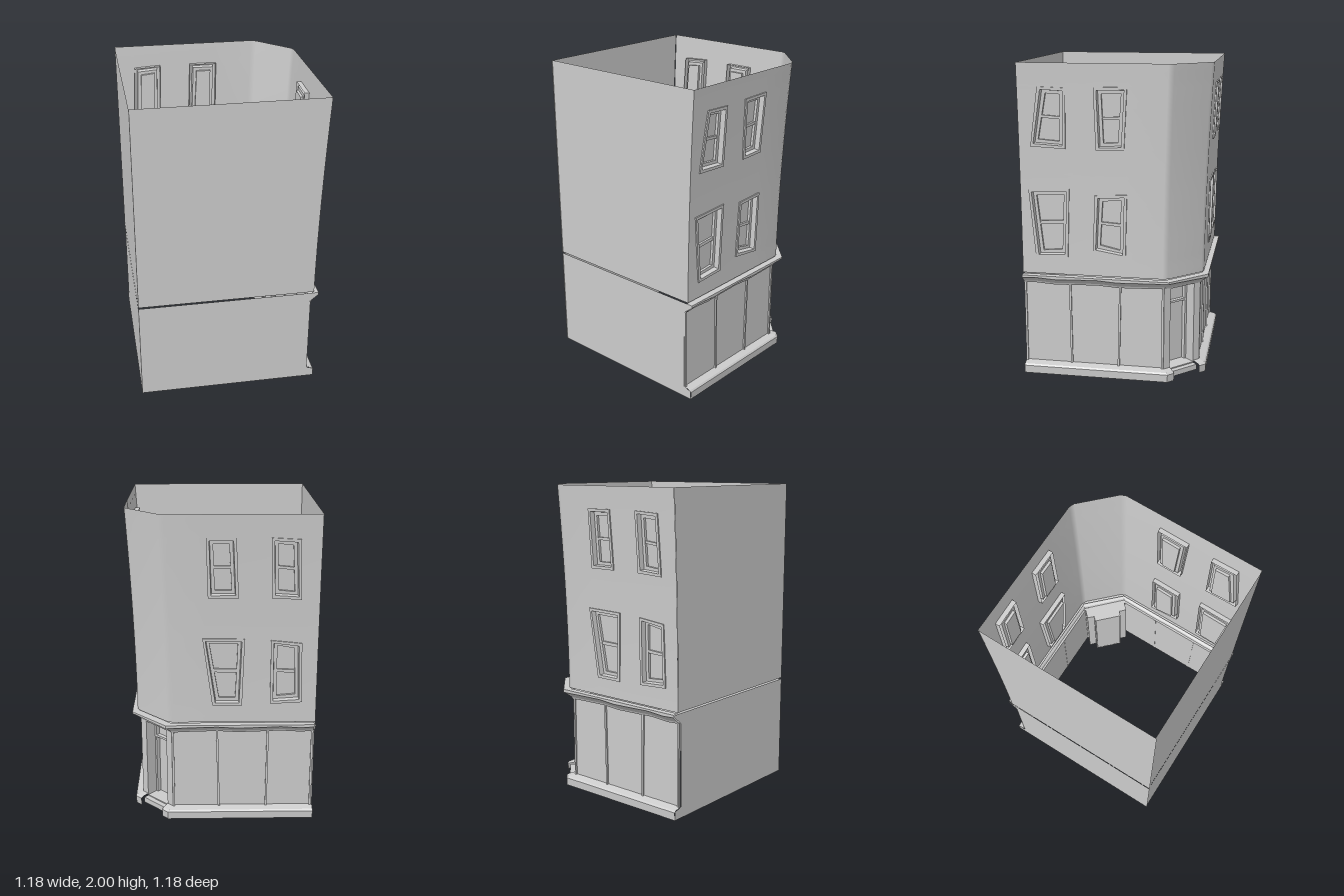
import * as THREE from 'three';

const mat = new THREE.MeshStandardMaterial({ color: 0xcccccc, side: THREE.DoubleSide });
const FRONT = 0.583, LEFT = -0.59, UPPER = 0.675, TOP = 2, GLASS = 0.516, SHOP = 0.526;

// Footprint: each function turns an outward distance d into an [x, z] point
const cut = d => 0.315 + (d - 0.52) * 0.7;
const right = u => d => [d, u];
const back = u => d => [u, -d - 0.003];
const chamfer = t => d => [
  THREE.MathUtils.lerp(d, cut(d), t),
  THREE.MathUtils.lerp(-cut(d), -d - 0.003, t)];
const rightEnd = d => [d, -cut(d) + 0.02];
const backEnd = d => [cut(d) - 0.02, -d - 0.003];
// Upper walls flare outward towards the top
const lean = y => 0.546 + 0.042 * Math.pow(Math.max(0, (y - UPPER) / (TOP - UPPER)), 1.8);
const place = (f, d, y) => { const [x, z] = f(d); return [x, y, z]; };

// Surface through columns of points, with optional omitted cells
function grid(cols, flat, skip = () => false) {
  const n = cols[0].length, index = [];
  for (let i = 0; i < cols.length - 1; i++)
    for (let j = 0; j < n - 1; j++) {
      if (skip(i, j)) continue;
      const a = i * n + j, b = a + n;
      index.push(a, b, b + 1, a, b + 1, a + 1);
    }
  let g = new THREE.BufferGeometry();
  g.setAttribute('position', new THREE.Float32BufferAttribute(cols.flat(2), 3));
  g.setIndex(index);
  if (flat) g = g.toNonIndexed();
  g.computeVertexNormals();
  return g;
}

function add(parent, name, geometry) {
  const m = new THREE.Mesh(geometry, mat);
  m.name = name;
  parent.add(m);
  return m;
}

function box(parent, name, w, h, d, x, y, z) {
  const m = add(parent, name, new THREE.BoxGeometry(w, h, d));
  m.position.set(x, y, z);
  return m;
}

// Profile of [d, y] points swept along the footprint
const sweep = (path, profile, wobble = () => 0) => grid(
  path.map((f, i) => profile.map(([d, y], k) => place(f, d, y + wobble(i, k)))), true);

// Window corners as [u, y]: bottom left, bottom right, top right, top left
const sides = [
  { face: right, upper: [
    [[0.508, 1.49], [0.29, 1.48], [0.28, 1.851], [0.455, 1.857]],
    [[0.10, 1.475], [-0.074, 1.48], [-0.095, 1.862], [0.11, 1.857]]],
  lower: [
    [[0.492, 0.78], [0.286, 0.79], [0.27, 1.23], [0.53, 1.22]],
    [[0.127, 0.828], [-0.08, 0.80], [-0.09, 1.204], [0.11, 1.194]]] },
  { face: back, upper: [
    [[0.085, 1.49], [-0.10, 1.49], [-0.085, 1.86], [0.095, 1.86]],
    [[-0.30, 1.49], [-0.48, 1.48], [-0.465, 1.85], [-0.29, 1.86]]],
  lower: [
    [[0.06, 0.79], [-0.125, 0.79], [-0.14, 1.23], [0.12, 1.235]],
    [[-0.30, 0.80], [-0.50, 0.81], [-0.49, 1.20], [-0.30, 1.22]]] }];

// Trim, reveal, sash frame and panes of one crooked window
function addWindow(parent, face, c) {
  const g = new THREE.Group();
  g.name = 'window';
  parent.add(g);
  const at = (i, inset, out) => {
    const u = c[i][0] + (i === 0 || i === 3 ? -inset : inset);
    const y = c[i][1] + (i < 2 ? inset : -inset);
    return place(face(u), lean(y) + out, y);
  };
  const rings = [[0, -0.03], [0, 0.008], [0.018, 0.008], [0.022, -0.025], [0.042, -0.025], [0.042, -0.042]];
  add(g, 'windowFrame', grid([0, 1, 2, 3, 0].map(i => rings.map(([s, o]) => at(i, s, o))), true));
  const p = [0, 1, 2, 3].map(i => at(i, 0.042, -0.042));
  add(g, 'windowPane', grid([[p[0], p[3]], [p[1], p[2]]], true));
  // Meeting rail half way up
  const mix = (a, b, t, o) => {
    const q = i => at(i, 0.042, o), A = q(a), B = q(b);
    return A.map((v, k) => v + (B[k] - v) * t);
  };
  const rail = [[0.47, -0.042], [0.47, -0.028], [0.53, -0.028], [0.53, -0.042]];
  add(g, 'meetingRail', grid([[0, 3], [1, 2]].map(([a, b]) => rail.map(([t, o]) => mix(a, b, t, o))), true));
}

// Upper facade wrapped round the corner, open where the windows sit
function addFacade(parent) {
  const rows = [UPPER, 0.8, 1.21, 1.485, 1.857, TOP], SUB = 3;
  const plain = f => rows.map(y => [() => f, 0, y]);
  const edges = ({ face, upper, lower }) => [0, 1].flatMap(w => [[0, 3], [1, 2]].map(([b, t]) => {
    const [lb, lt, ub, ut] = [lower[w][b], lower[w][t], upper[w][b], upper[w][t]];
    return [[lb[0], UPPER], lb, lt, ub, ut, [ut[0], TOP]].map(([u, y]) => [face, u, y]);
  }));
  const keys = [plain(right(FRONT)), ...edges(sides[0]),
    plain(rightEnd), plain(chamfer(0.06)), plain(chamfer(0.94)), plain(backEnd),
    ...edges(sides[1]), plain(back(LEFT))];
  const cols = keys.map(k => {
    const col = [];
    for (let j = 0; j <= 5 * SUB; j++) {
      const a = k[Math.min(4, Math.floor(j / SUB))], b = k[Math.min(4, Math.floor(j / SUB)) + 1];
      const t = j === 5 * SUB ? 1 : (j % SUB) / SUB;
      const y = a[2] + (b[2] - a[2]) * t;
      col.push(place(a[0](a[1] + (b[1] - a[1]) * t), lean(y), y));
    }
    return col;
  });
  const windowCols = [1, 3, 9, 11];
  add(parent, 'upperFacade', grid(cols, false,
    (i, j) => windowCols.includes(i) && Math.floor(j / SUB) % 2 === 1));
  for (const { face, upper, lower } of sides)
    for (const c of [...upper, ...lower]) addWindow(parent, face, c);
}

// Plain party walls on the front and left
function addPartyWalls(parent) {
  const flare = [];
  for (let i = 0; i <= 8; i++) {
    const y = UPPER + (TOP - UPPER) * i / 8;
    flare.push([lean(y), y]);
  }
  const upper = [[LEFT, UPPER], ...flare, [LEFT, TOP]];
  const lower = [[LEFT, 0], [0.57, 0], [0.57, 0.055], [GLASS, 0.072], [GLASS, 0.6],
    [0.578, 0.65], [0.578, 0.666], [LEFT, 0.666]];
  for (const [name, pts] of [['UpperWall', upper], ['LowerWall', lower]]) {
    const g = new THREE.ShapeGeometry(new THREE.Shape(pts.map(p => new THREE.Vector2(...p))));
    add(parent, 'front' + name, g).position.z = FRONT;
    const left = add(parent, 'left' + name, g);
    left.rotation.y = Math.PI / 2;
    left.scale.z = -1;
    left.position.x = LEFT;
  }
}

// Shop front: glass, posts, plinth and cornice
function addShopFront(parent) {
  const us = [0.583, 0.5, 0.37, 0.27, 0.1, -0.03, -0.2];
  const cornicePath = [...us.map(right), chamfer(0), chamfer(1), ...us.map(u => back(-u)).reverse()];
  add(parent, 'cornice', sweep(cornicePath,
    [[GLASS, 0.6], [0.53, 0.602], [0.536, 0.615], [0.57, 0.645], [0.578, 0.65], [0.578, 0.666], [0.535, 0.666]],
    (i, k) => k > 4 ? 0 : 0.005 * Math.sin(i * 2.1)));
  const halves = [['right', [right(FRONT), chamfer(0), chamfer(0.17)]],
    ['back', [chamfer(0.83), chamfer(1), back(LEFT)]]];
  for (const [name, path] of halves) {
    add(parent, name + 'Plinth', sweep(path,
      [[0.57, 0], [0.572, 0.05], [0.562, 0.06], [GLASS, 0.073]]));
    const ends = name === 'right' ? path.slice(0, 2) : path.slice(1);
    add(parent, name + 'ShopGlass', sweep(ends, [[GLASS, 0.07], [GLASS, 0.605]]));
  }
  const posts = [[0.576, 0], [0.28, 0.01], [-0.035, -0.02], [-0.312, 0]];
  for (const [u, tilt] of posts) {
    const r = box(parent, 'shopPost', 0.012, 0.535, 0.013, GLASS + 0.004, 0.335, u);
    r.rotation.x = tilt;
    const b = box(parent, 'shopPost', 0.013, 0.535, 0.012, -u - 0.01 * (tilt !== 0), 0.335, -GLASS - 0.007);
    b.rotation.z = tilt;
  }
}

// Recessed corner entrance, built facing local +z
function addEntrance(parent) {
  const g = new THREE.Group();
  g.name = 'entrance';
  const a = chamfer(0.5)(SHOP);
  g.position.set(a[0], 0, a[1]);
  g.rotation.y = Math.PI * 0.75;
  parent.add(g);
  for (const s of [-1, 1]) {
    box(g, 'doorJamb', 0.05, 0.55, 0.078, s * 0.121, 0.335, -0.039);
    box(g, 'doorPost', 0.014, 0.54, 0.03, s * 0.089, 0.33, -0.09);
  }
  box(g, 'entranceCeiling', 0.29, 0.012, 0.078, 0, 0.604, -0.039);
  box(g, 'innerCeiling', 0.19, 0.012, 0.04, 0, 0.604, -0.095);
  box(g, 'door', 0.18, 0.54, 0.012, 0, 0.33, -0.108);
  box(g, 'transomBar', 0.17, 0.014, 0.03, 0, 0.475, -0.09);
  box(g, 'threshold', 0.19, 0.012, 0.115, 0, 0.056, -0.057);
  box(g, 'doorStep', 0.196, 0.035, 0.04, 0, 0.0375, 0.015);
}

export function createModel() {
  const model = new THREE.Group();
  model.name = 'cornerBuilding';
  addFacade(model);
  addPartyWalls(model);
  addShopFront(model);
  addEntrance(model);
  return model;
}
